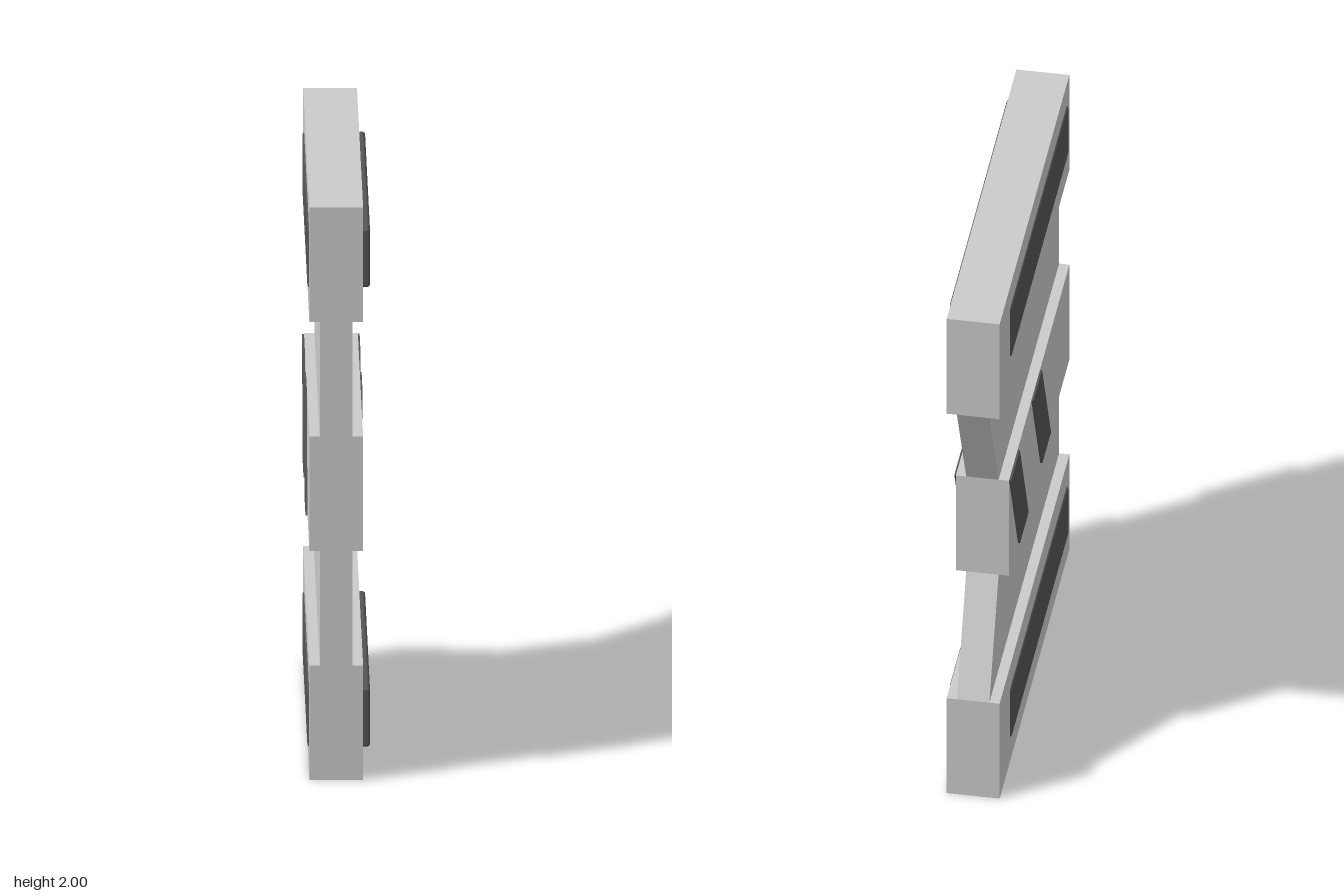
import * as THREE from 'three';
import { RoundedBoxGeometry } from 'three/addons/geometries/RoundedBoxGeometry.js';

const grey = new THREE.MeshStandardMaterial({ color: 0xcccccc });
const dark = new THREE.MeshStandardMaterial({ color: 0x555555 });

// Side profile given as [z, y] corners, extruded across the thickness from x0 to x1
function slab(name, corners, x0, x1, material) {
  const shape = new THREE.Shape(corners.map(([z, y]) => new THREE.Vector2(-z, y)));
  const geometry = new THREE.ExtrudeGeometry(shape, { depth: x1 - x0, bevelEnabled: false });
  geometry.rotateY(Math.PI / 2).translate(x0, 0, 0);
  const mesh = new THREE.Mesh(geometry, material);
  mesh.name = name;
  return mesh;
}

export function createModel() {
  const model = new THREE.Group();
  model.name = 'panel';
  const front = 0.695, back = -0.695, waist = -0.51;

  // Five stacked bands: [name, bottom y, back z at bottom, back z at top, x0, x1]
  const bands = [
    ['lowerBand', 0, back, back, -0.1, 0.08],
    ['lowerWeb', 0.4, back, waist, -0.065, 0.045],
    ['middleBand', 0.8, waist, waist, -0.1, 0.08],
    ['upperWeb', 1.2, waist, back, -0.065, 0.045],
    ['upperBand', 1.6, back, back, -0.1, 0.08],
  ];
  for (const [name, y, zBottom, zTop, x0, x1] of bands) {
    const corners = [[front, y], [zBottom, y], [zTop, y + 0.4], [front, y + 0.4]];
    model.add(slab(name, corners, x0, x1, grey));
  }

  // Long softened bars through the upper and lower bands, proud on both sides
  for (const [name, y] of [['lowerBar', 0.203], ['upperBar', 1.808]]) {
    const bar = new THREE.Mesh(new RoundedBoxGeometry(0.21, 0.206, 1.14, 2, 0.01), dark);
    bar.position.set(-0.001, y, 0.078);
    bar.name = name;
    model.add(bar);
  }

  // Slanted stripes through the middle band, just proud of both faces
  for (const [name, z] of [['frontStripe', 0.288], ['backStripe', -0.156]]) {
    const corners = [[z, 0.802], [z - 0.173, 0.802], [z - 0.35, 1.198], [z - 0.177, 1.198]];
    // Each face gets its own thin stripe so the band edges stay clean
    model.add(slab(name + 'Left', corners, 0.07, 0.086, dark));
    model.add(slab(name + 'Right', corners, -0.107, -0.09, dark));
  }
  return model;
}
